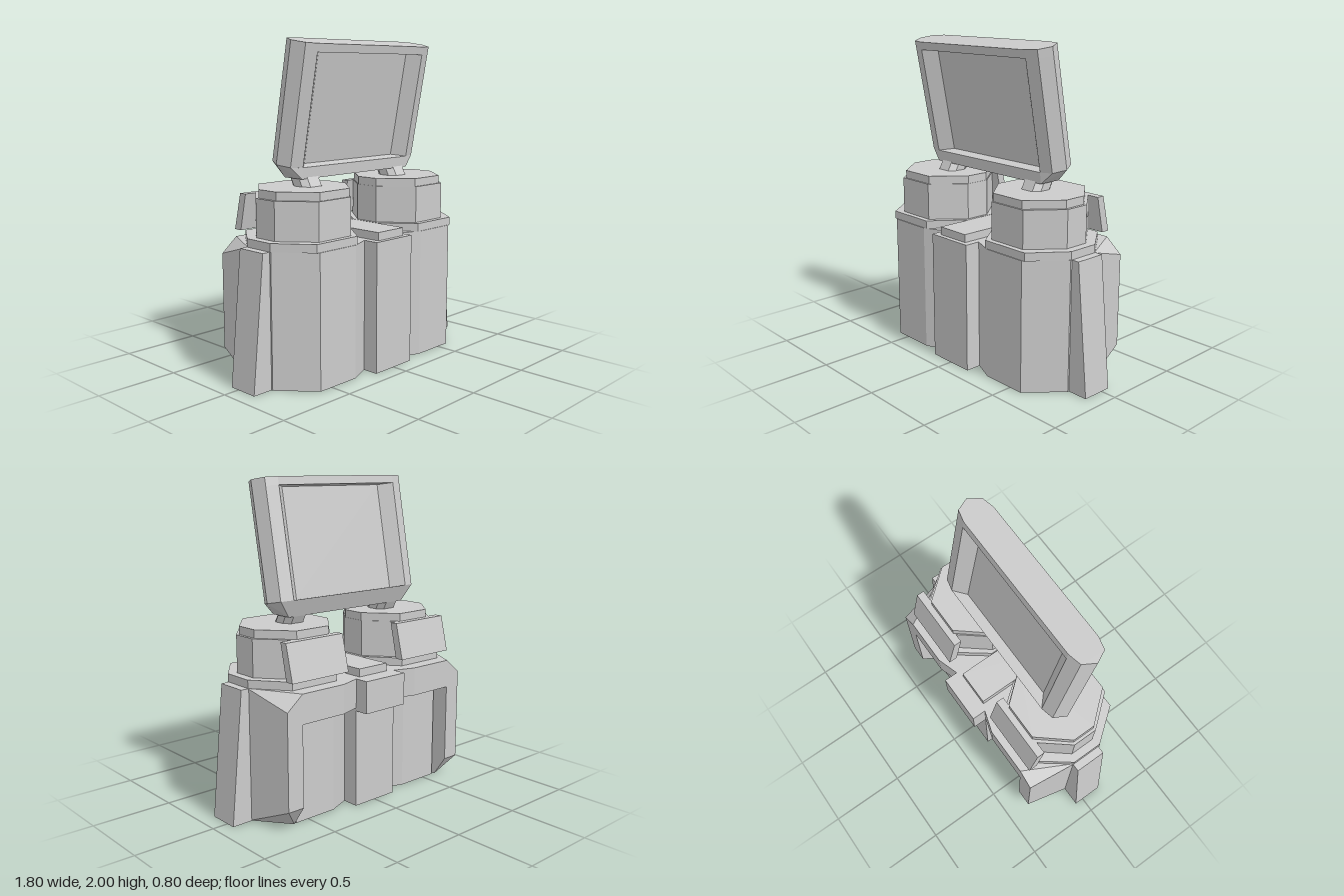
import * as THREE from 'three';
import { ConvexGeometry } from 'three/addons/geometries/ConvexGeometry.js';

const material = new THREE.MeshStandardMaterial({ color: 0xcccccc, flatShading: true });

function add(parent, name, geometry) {
  const mesh = new THREE.Mesh(geometry, material);
  mesh.name = name;
  parent.add(mesh);
  return mesh;
}

// Upright prism from an [x, z] outline
function prism(outline, y0, y1) {
  const shape = new THREE.Shape(outline.map(([x, z]) => new THREE.Vector2(x, -z)));
  const geometry = new THREE.ExtrudeGeometry(shape, { depth: y1 - y0, bevelEnabled: false });
  return geometry.rotateX(-Math.PI / 2).translate(0, y0, 0);
}

function box(x0, x1, y0, y1, z0, z1) {
  return new THREE.BoxGeometry(x1 - x0, y1 - y0, z1 - z0)
    .translate((x0 + x1) / 2, (y0 + y1) / 2, (z0 + z1) / 2);
}

function hull(points) {
  return new ConvexGeometry(points.map((p) => new THREE.Vector3(...p)));
}

// Octagon with half sizes a, b and flat half lengths fa, fb
function octagon(cx, cz, a, b, fa, fb) {
  return [[fa, b], [a, fb], [a, -fb], [fa, -b], [-fa, -b], [-a, -fb], [-a, fb], [-fa, b]]
    .map(([x, z]) => [cx + x, cz + z]);
}

const flip = (points, s) => points.map(([x, ...rest]) => [s * x, ...rest]);

function createSide(s) {
  const side = new THREE.Group();
  side.name = s > 0 ? 'leftCanister' : 'rightCanister';

  // Main lobe
  add(side, 'lobe', prism(flip([[0.1, 0.28], [0.16, 0.3], [0.3, 0.36], [0.59, 0.36], [0.77, 0.15],
    [0.77, -0.05], [0.59, -0.26], [0.3, -0.26], [0.1, -0.18]], s), 0, 0.81));

  // Stepped octagonal neck on the lobe
  const tiers = [
    ['collar', 0.445, 0.325, 0.31, 0.165, 0.1, 0.81, 0.86],
    ['turret', 0.428, 0.29, 0.275, 0.13, 0.08, 0.86, 1.09],
    ['cap', 0.42, 0.28, 0.265, 0.12, 0.075, 1.09, 1.14],
  ];
  for (const [name, cx, a, b, fa, fb, y0, y1] of tiers) {
    add(side, name, prism(octagon(s * cx, 0.045, a, b, fa, fb), y0, y1));
  }

  // Sloped side fin
  const fin = [];
  for (const z of [-0.06, 0.14]) fin.push([0.74, 0, z], [0.9, 0, z], [0.82, 0.81, z], [0.74, 0.81, z]);
  add(side, 'sideFin', hull(flip(fin, s)));

  // Rear overhang and the chamfered post that carries it
  add(side, 'rearOverhang', prism(flip([[0.12, -0.3], [0.16, -0.31], [0.3, -0.355], [0.61, -0.355],
    [0.61, -0.2], [0.12, -0.18]], s), 0.63, 0.81));
  add(side, 'rearPost', hull(flip([
    [0.77, 0, -0.05], [0.77, 0.81, -0.05], [0.72, 0.13, -0.355], [0.72, 0.72, -0.355],
    [0.61, 0.13, -0.355], [0.61, 0.81, -0.355], [0.61, 0, -0.265], [0.61, 0, -0.05], [0.61, 0.81, -0.05],
  ], s)));

  // Wedge flap behind the turret
  const flap = [];
  for (const x of [0.227, 0.65]) {
    flap.push([x, 1.09, -0.21], [x, 1.09, -0.26], [x, 0.865, -0.315], [x, 0.865, -0.26]);
  }
  add(side, 'rearFlap', hull(flip(flap, s)));

  // Leaning foot that joins the cap to the frame
  const foot = [];
  for (const [y, z] of [[1.13, 0.05], [1.2, 0.012]]) {
    for (const [px, pz] of octagon(0.385, z, 0.076, 0.076, 0.045, 0.035)) foot.push([px, y, pz]);
  }
  add(side, 'frameFoot', hull(flip(foot, s)));
  return side;
}

function createFrame() {
  const frame = new THREE.Group();
  frame.name = 'tiltedFrame';
  const height = 0.72;
  const edge = [[0.465, 0.1], [0.545, 0.08], [0.585, 0], [0.545, -0.08], [0.465, -0.1]];

  // Side rails with bevelled inner faces
  for (const s of [1, -1]) {
    add(frame, s > 0 ? 'leftRail' : 'rightRail',
      prism(flip([...edge, [0.39, -0.03], [0.39, 0.03]], s), 0, height - 0.05));
  }
  // Top rail and recessed panel
  add(frame, 'topRail', prism([...edge, ...flip(edge, -1).reverse()], height - 0.05, height));
  add(frame, 'panel', box(-0.4, 0.4, 0, height - 0.04, -0.03, 0.03));
  frame.position.set(0, 1.275, -0.005);
  frame.rotation.x = 0.189;
  return frame;
}

export function createModel() {
  const model = new THREE.Group();
  model.name = 'twinCanisterPack';

  // Central column, top plate and rear block
  add(model, 'centreColumn', box(-0.16, 0.16, 0, 0.81, -0.31, 0.4));
  add(model, 'centrePlate', box(-0.115, 0.115, 0.81, 0.86, -0.29, 0.37));
  add(model, 'rearBlock', box(-0.16, 0.16, 0.61, 0.81, -0.4, -0.3));

  for (const s of [1, -1]) model.add(createSide(s));
  model.add(createFrame());

  // Tapered bar under the frame
  const half = [[0.47, 1.187, 0.09], [0.47, 1.187, -0.06], [0.545, 1.26, 0.074], [0.465, 1.256, 0.093],
    [0.585, 1.275, -0.005], [0.545, 1.29, -0.084], [0.465, 1.294, -0.103]];
  add(model, 'frameBase', hull([...half, ...flip(half, -1)]));
  return model;
}
